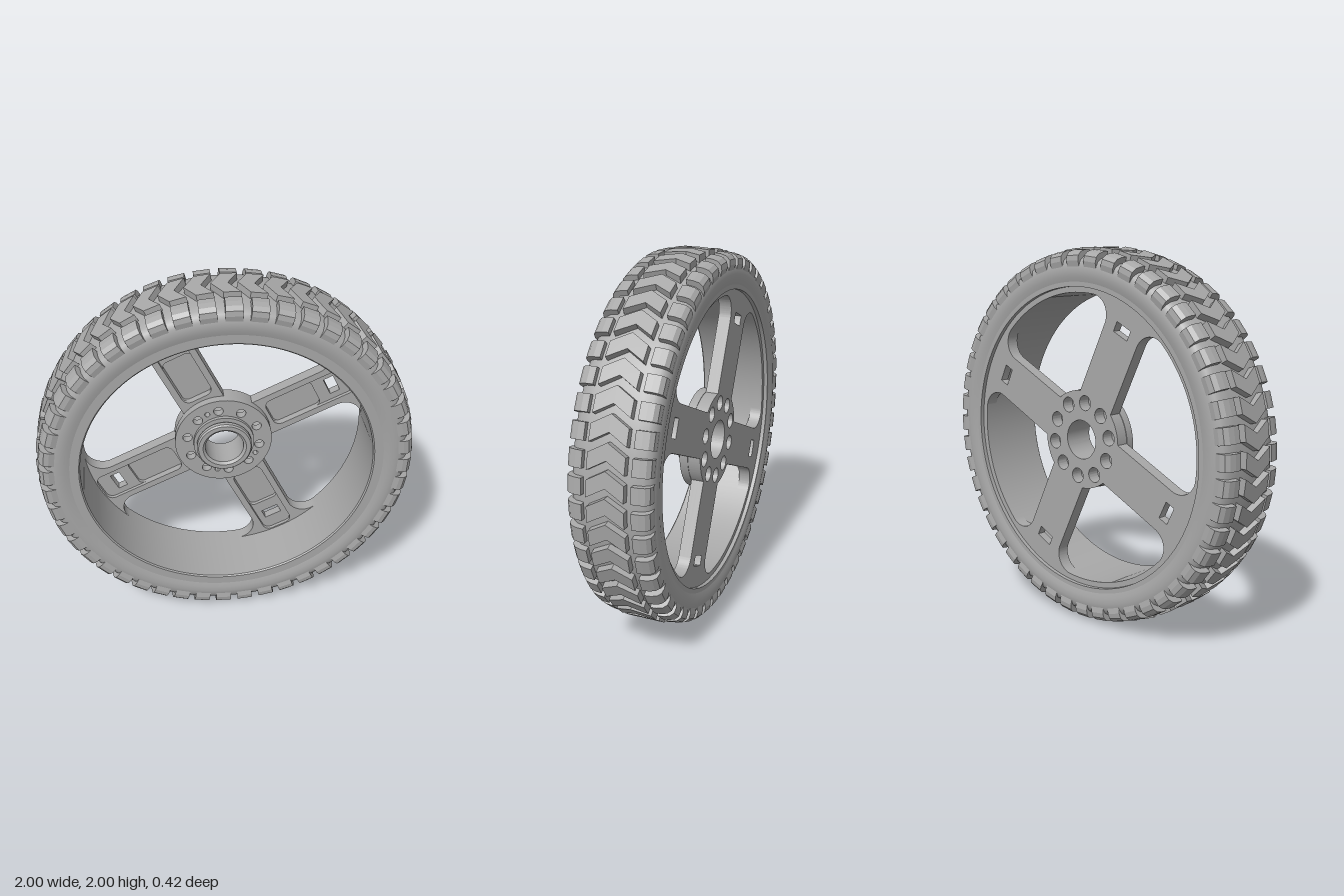
import * as THREE from 'three';
import { mergeGeometries, toCreasedNormals } from 'three/addons/utils/BufferGeometryUtils.js';

const SPOKE_ANGLE = THREE.MathUtils.degToRad(26);
const LUGS = 48;

const circle = (x, y, r) => new THREE.Path().absarc(x, y, r, 0, Math.PI * 2, false);

// Ring of circular holes around the axle
const holeRing = (degrees, r, size) => degrees.map((d) => {
  const a = THREE.MathUtils.degToRad(d);
  return circle(r * Math.cos(a), r * Math.sin(a), size);
});

// Rounded rectangle lying along the spoke of index k
function spokeCut(k, r0, r1, half, corner) {
  const pts = [];
  const corners = [[r1, half, 0], [r0, half, 1], [r0, -half, 2], [r1, -half, 3]];
  for (const [x, y, q] of corners) {
    const cx = x === r0 ? x + corner : x - corner;
    const cy = y - Math.sign(y) * corner;
    for (let i = 0; i <= 5; i++) {
      const a = (q + i / 5) * Math.PI / 2;
      pts.push(new THREE.Vector2(cx + corner * Math.cos(a), cy + corner * Math.sin(a)));
    }
  }
  const o = new THREE.Vector2();
  return new THREE.Path(pts.map((p) => p.rotateAround(o, k * Math.PI / 2)));
}

// Opening between two spokes, rounded where it meets the rim
function windowCut(k) {
  const half = 0.12, rim = 0.77, hub = 0.262, f = 0.1;
  const cy = half + f, cx = Math.sqrt((rim - f) ** 2 - cy ** 2);
  const a = Math.atan2(cy, cx), b = Math.asin(half / hub), q = Math.PI / 2;
  const p = new THREE.Path();
  p.moveTo(hub * Math.cos(b), half);
  p.absarc(cx, cy, f, -q, a, false);
  p.absarc(0, 0, rim, a, q - a, false);
  p.absarc(cy, cx, f, q - a, Math.PI, false);
  p.absarc(0, 0, hub, q - b, b, true);
  const o = new THREE.Vector2();
  return new THREE.Path(p.getPoints(24).map((v) => v.rotateAround(o, k * q)));
}

// Flat disc with holes between two depths
function plate(radius, holes, z0, z1) {
  const shape = new THREE.Shape().absarc(0, 0, radius, 0, Math.PI * 2, false);
  shape.holes.push(...holes);
  const g = new THREE.ExtrudeGeometry(shape, { depth: z1 - z0, bevelEnabled: false, curveSegments: 36 });
  g.translate(0, 0, z0);
  return toCreasedNormals(g, 0.6);
}

// Closed profile of [radius, z] points turned around the axle
function turned(profile, segments = 128) {
  const pts = [...profile, profile[0]].map(([r, z]) => new THREE.Vector2(r, z));
  const g = new THREE.LatheGeometry(pts, segments).rotateX(Math.PI / 2);
  return toCreasedNormals(g, 0.6);
}

// Copies one tread block all the way around
function around(block) {
  const all = [];
  for (let i = 0; i < LUGS; i++) all.push(block.clone().rotateZ((i / LUGS) * Math.PI * 2));
  return mergeGeometries(all);
}

export function createModel() {
  const model = new THREE.Group();
  const wheel = new THREE.Group();
  wheel.name = 'wheel';
  wheel.position.y = 1;
  model.add(wheel);

  const grey = new THREE.MeshStandardMaterial({ color: 0xa8a8a8 });
  grey.name = 'grey';
  const add = (name, geometry, turn = 0) => {
    const m = new THREE.Mesh(geometry, grey);
    m.name = name;
    m.rotation.z = turn;
    wheel.add(m);
  };

  // Tyre carcass with bulged sidewalls
  const side = [[0.825, 0.2], [0.85, 0.207], [0.88, 0.21], [0.91, 0.205], [0.935, 0.194], [0.953, 0.168], [0.962, 0.12]];
  add('tyre', turned([
    ...side.map(([r, z]) => [r, -z]),
    [0.966, 0],
    ...side.slice().reverse(),
  ]));

  // Chevron blocks along the middle of the tread
  const w = 0.095, rise = 0.055, t = 0.042;
  const chevron = new THREE.Shape([
    [-w, -rise / 2 - t], [0, rise / 2 - t], [w, -rise / 2 - t],
    [w, -rise / 2 + t], [0, rise / 2 + t], [-w, -rise / 2 + t],
  ].map(([x, y]) => new THREE.Vector2(x, y)));
  const block = new THREE.ExtrudeGeometry(chevron, { depth: 0.048, bevelEnabled: false });
  block.rotateY(Math.PI / 2).translate(0.95, 0, 0);
  add('chevronTread', around(block));

  // Shoulder blocks on both sides
  for (const s of [1, -1]) {
    const shape = new THREE.Shape([
      [0.9, 0.15], [0.9, 0.206], [0.93, 0.212], [0.957, 0.208],
      [0.976, 0.19], [0.985, 0.16], [0.988, 0.125], [0.94, 0.125],
    ].map(([r, z]) => new THREE.Vector2(r, s * z)));
    const lug = new THREE.ExtrudeGeometry(shape, { depth: 0.084, bevelEnabled: false });
    lug.translate(0, 0, -0.042).rotateX(Math.PI / 2).rotateZ(-0.028);
    add(s > 0 ? 'frontShoulderTread' : 'backShoulderTread', around(lug));
  }

  // Rim barrel with a stepped lip at the back
  add('rim', turned([
    [0.77, -0.178], [0.8, -0.178], [0.8, -0.2], [0.83, -0.2],
    [0.83, 0.2], [0.777, 0.2], [0.77, 0.193],
  ]));

  // Spoke plate in three layers: back, pocket floor and raised edges
  const four = [0, 1, 2, 3];
  const tenHoles = Array.from({ length: 10 }, (_, i) => i * 36);
  const windows = () => four.map(windowCut);
  const slots = () => four.map((k) => spokeCut(k, 0.627, 0.683, 0.05, 0.003));
  const bore = () => circle(0, 0, 0.104);
  const wideHoles = () => holeRing(tenHoles, 0.2, 0.04);
  add('spokeBack', plate(0.785, [...windows(), ...slots(), bore(), ...wideHoles()], -0.178, -0.15), SPOKE_ANGLE);
  add('spokeMiddle', plate(0.785, [
    ...windows(), ...slots(), bore(), ...wideHoles(),
    ...four.map((k) => spokeCut(k, 0.285, 0.56, 0.085, 0.03)),
  ], -0.15, -0.13), SPOKE_ANGLE);
  add('spokeEdges', plate(0.785, [
    ...windows(), bore(), ...wideHoles(),
    ...four.map((k) => spokeCut(k, 0.285, 0.762, 0.085, 0.04)),
  ], -0.13, -0.11), SPOKE_ANGLE);

  // Hub flange with bolt holes and three small pin holes
  add('hubFlange', plate(0.265, [
    bore(), ...holeRing(tenHoles, 0.2, 0.026), ...holeRing([90, -54, -126], 0.2, 0.014),
  ], -0.11, -0.065), SPOKE_ANGLE);

  // Stepped boss around the bore
  add('hubBoss', turned([
    [0.104, -0.178], [0.13, -0.17], [0.165, -0.1], [0.165, -0.045], [0.14, -0.045],
    [0.14, -0.03], [0.15, -0.03], [0.15, -0.008], [0.142, 0], [0.118, 0], [0.104, -0.012],
  ].map(([r, z], i) => (i === 1 ? [0.12, -0.17] : [r, z])), 64));

  return model;
}
